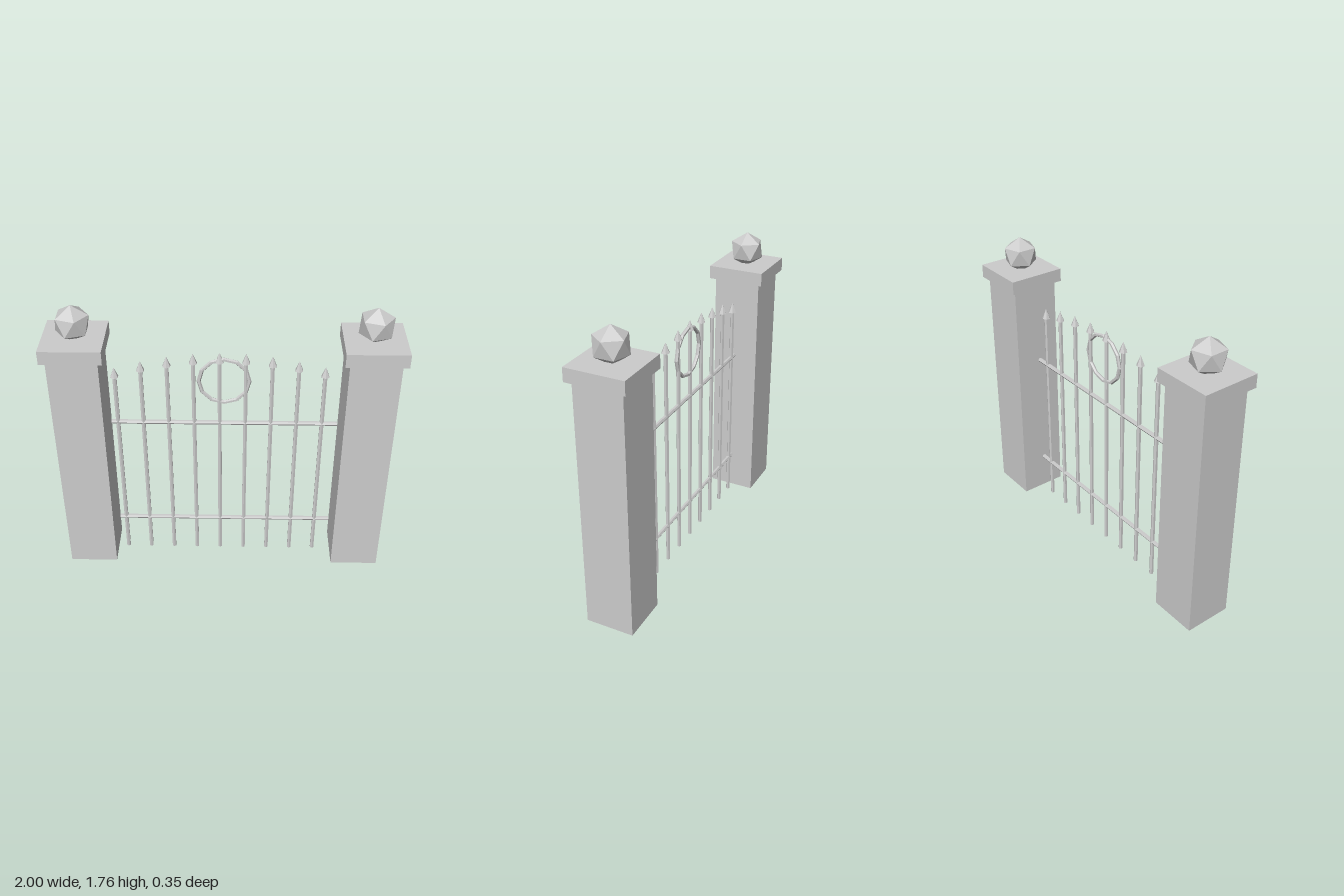
import * as THREE from 'three';

export function createModel() {
  const model = new THREE.Group();
  model.name = 'gate';
  const grey = new THREE.MeshStandardMaterial({ color: 0xcccccc, flatShading: true });
  grey.name = 'light grey';

  const add = (parent, name, geometry, x, y, z = 0) => {
    const mesh = new THREE.Mesh(geometry, grey);
    mesh.name = name;
    mesh.position.set(x, y, z);
    parent.add(mesh);
    return mesh;
  };

  // Stone pillars with cap slabs and faceted balls, one point of each ball up
  const ballTilt = -Math.atan(2 / (1 + Math.sqrt(5)));
  for (const side of [-1, 1]) {
    const pillar = new THREE.Group();
    pillar.name = side < 0 ? 'rightPillar' : 'leftPillar';
    pillar.position.x = side * 0.827;
    add(pillar, 'pillarShaft', new THREE.BoxGeometry(0.288, 1.49, 0.288), 0, 0.745);
    add(pillar, 'pillarCap', new THREE.BoxGeometry(0.346, 0.08, 0.346), 0, 1.53);
    add(pillar, 'pillarBall', new THREE.IcosahedronGeometry(0.107, 0).rotateZ(ballTilt), 0, 1.653);
    model.add(pillar);
  }

  // Upright bars with spear points, their tips following a shallow arch
  const tips = [1.367, 1.411, 1.442, 1.462, 1.47, 1.465, 1.448, 1.42, 1.382];
  const spearHeight = 0.062;
  tips.forEach((tip, i) => {
    const bar = new THREE.Group();
    bar.name = 'bar' + (i + 1);
    bar.position.x = -0.621 + i * 0.149;
    const height = tip - spearHeight;
    add(bar, 'barShaft', new THREE.CylinderGeometry(0.013, 0.013, height, 6), 0, height / 2);
    add(bar, 'spearPoint', new THREE.ConeGeometry(0.025, spearHeight, 6), 0, tip - spearHeight / 2);
    model.add(bar);
  });

  // Horizontal rails
  for (const [name, y] of [['lowerRail', 0.25], ['upperRail', 0.993]]) {
    add(model, name, new THREE.CylinderGeometry(0.013, 0.013, 1.32, 6).rotateZ(Math.PI / 2), 0, y);
  }

  // Ornamental ring
  add(model, 'ring', new THREE.TorusGeometry(0.144, 0.012, 6, 12), 0, 1.283);

  return model;
}
